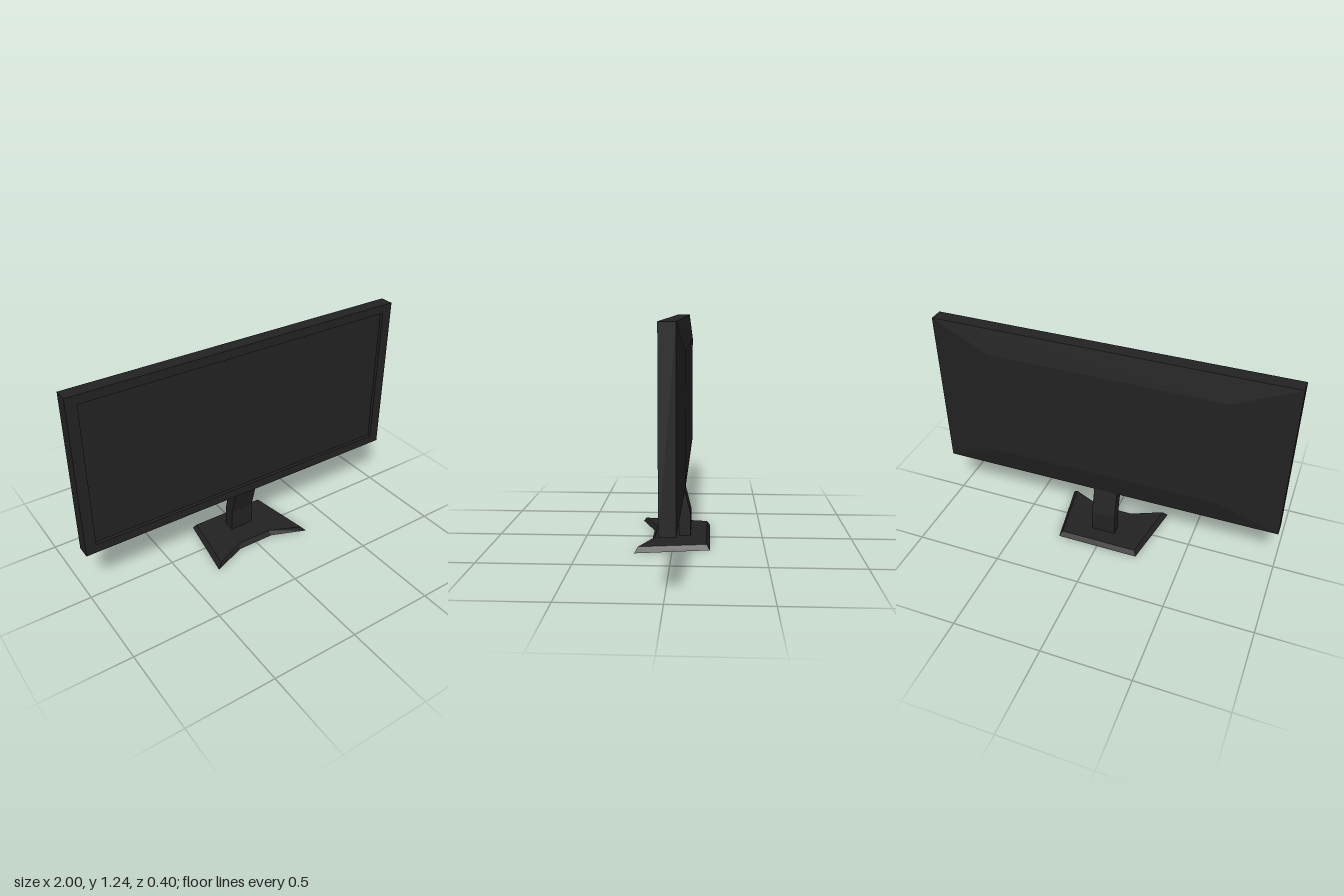
import * as THREE from 'three';

// Skins stacked outlines. Each ring is { pts: [[x, y], ...] counter-clockwise, z }, ordered front to back.
// caps: whether the first and last rings are closed; hole: clockwise opening in the last cap.
function loft(rings, { first = true, last = true, hole = [] } = {}) {
  const pos = [];
  const tri = (...corners) => corners.forEach((c) => pos.push(...c));
  const at = (ring, j) => [...ring.pts[j % ring.pts.length], ring.z];
  for (let i = 0; i < rings.length - 1; i++) {
    for (let j = 0; j < rings[i].pts.length; j++) {
      const a = at(rings[i], j), b = at(rings[i], j + 1);
      const c = at(rings[i + 1], j + 1), d = at(rings[i + 1], j);
      tri(a, d, c);
      tri(a, c, b);
    }
  }
  const cap = (ring, flip, opening) => {
    const contour = ring.pts.map((p) => new THREE.Vector2(...p));
    const holes = opening.length ? [opening.map((p) => new THREE.Vector2(...p))] : [];
    const all = [...ring.pts, ...opening].map((p) => [...p, ring.z]);
    for (const [a, b, c] of THREE.ShapeUtils.triangulateShape(contour, holes)) {
      if (flip) tri(all[a], all[c], all[b]);
      else tri(all[a], all[b], all[c]);
    }
  };
  if (first) cap(rings[0], false, []);
  if (last) cap(rings[rings.length - 1], true, hole);
  const geo = new THREE.BufferGeometry();
  geo.setAttribute('position', new THREE.Float32BufferAttribute(pos, 3));
  geo.computeVertexNormals();
  return geo;
}

const rect = (w, y0, y1) => [[-w, y0], [w, y0], [w, y1], [-w, y1]];

export function createModel() {
  const model = new THREE.Group();
  const plastic = new THREE.MeshStandardMaterial({ color: 0x222222, side: THREE.DoubleSide });
  plastic.name = 'black plastic';

  const add = (name, geometry) => {
    const mesh = new THREE.Mesh(geometry, plastic);
    mesh.name = name;
    model.add(mesh);
  };

  // Display panel
  const opening = rect(0.94, 0.357, 1.188);
  const outer = rect(1, 0.306, 1.238);
  const screenZ = 0.003, frontZ = 0.023, rimZ = -0.056;

  add('screen', loft([{ pts: opening, z: screenZ }], { last: false }));

  // Bezel, side walls and the tapered back shell
  add('housing', loft([
    { pts: opening, z: screenZ },
    { pts: opening, z: frontZ },
    { pts: outer, z: frontZ },
    { pts: outer, z: rimZ },
    { pts: rect(0.66, 0.447, 1.095), z: -0.085 },
  ], { first: false }));

  // The stand is lofted downward: outline y is -z, ring z is height
  const upright = (geometry) => geometry.rotateX(-Math.PI / 2);

  // Cranked hollow neck
  const foot = rect(0.07, 0.03, 0.095);
  add('neck', upright(loft([
    { pts: rect(0.07, -0.01, 0.056), z: 0.307 },
    { pts: foot, z: 0.153 },
    { pts: foot, z: 0 },
  ], { first: false, last: false })));

  // Bevelled base with a notched front edge
  const baseOutline = (cornerX, cornerZ, notchX, notchZ, backX, backZ) => [
    [-cornerX, -cornerZ], [-notchX, -notchZ], [notchX, -notchZ],
    [cornerX, -cornerZ], [backX, backZ], [-backX, backZ],
  ];
  add('base', upright(loft([
    { pts: baseOutline(0.283, 0.182, 0.105, 0.102, 0.225, 0.185), z: 0.028 },
    { pts: baseOutline(0.31, 0.2, 0.11, 0.12, 0.24, 0.203), z: 0 },
  ], { hole: [...foot].reverse() })));

  return model;
}
